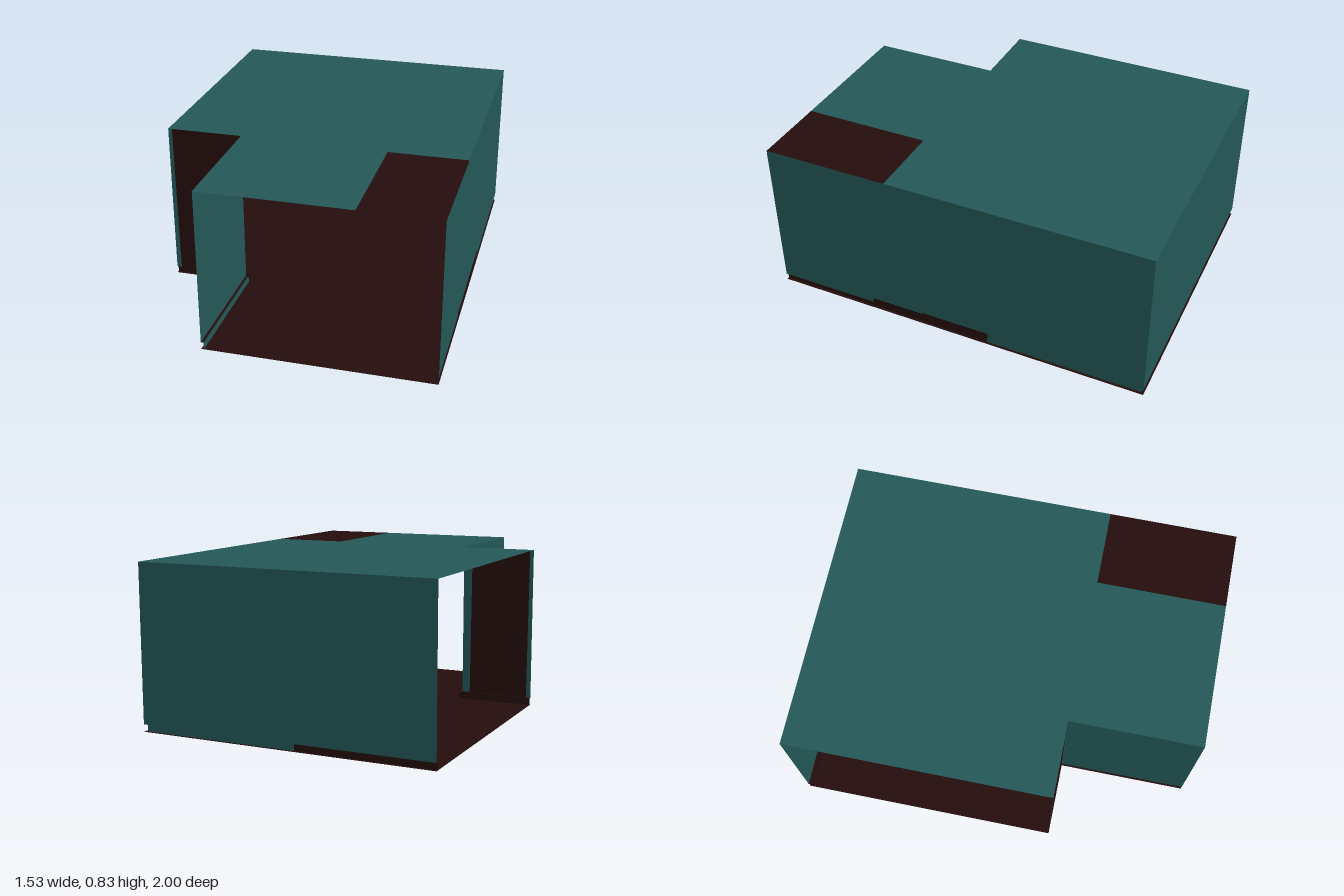
import * as THREE from 'three';

const W = 0.765, H = 0.83, BASE = 0.037; // half width, roof height, bottom of the walls
const NX = -0.378, NZ = 0.335;           // inner corner of the L-shaped plan
const INSET = 0.014;

export function createModel() {
  const model = new THREE.Group();
  const teal = new THREE.MeshStandardMaterial({ name: 'teal', color: 0x245958, side: THREE.DoubleSide });
  const dark = new THREE.MeshStandardMaterial({ name: 'darkBrown', color: 0x240e0d, side: THREE.DoubleSide });

  function add(name, geometry, material) {
    const mesh = new THREE.Mesh(geometry, material);
    mesh.name = name;
    model.add(mesh);
    return mesh;
  }
  const outline = (pts) => new THREE.ShapeGeometry(new THREE.Shape(pts.map(([a, b]) => new THREE.Vector2(a, b))));
  const rect = (a0, b0, a1, b1) => [[a0, b0], [a1, b0], [a1, b1], [a0, b1]];

  // Horizontal sheet from [x, z] points
  const sheet = (name, pts, y, mat) =>
    add(name, outline(pts.map(([x, z]) => [x, -z])).rotateX(-Math.PI / 2).translate(0, y, 0), mat);
  // Upright sheet facing z, from [x, y] points
  const wallZ = (name, pts, z, mat) => add(name, outline(pts).translate(0, 0, z), mat);
  // Upright sheet facing x, from [z, y] points
  const wallX = (name, pts, x, mat) =>
    add(name, outline(pts.map(([z, y]) => [-z, y])).rotateY(Math.PI / 2).translate(x, 0, 0), mat);

  // Floor and roof; the roof has a dark corner panel
  sheet('floor', [[-W, -1], [W, -1], [W, 1], [NX, 1], [NX, NZ], [-W, NZ]], 0, dark);
  sheet('roof', [[-W, -1], [W, -1], [W, 0.345], [0.37, 0.345], [0.37, 1], [NX, 1], [NX, NZ], [-W, NZ]], H, teal);
  sheet('roofPanel', rect(0.37, 0.345, W, 1), H, dark);

  // Main walls; the front and the other side stay open
  wallZ('backWall', rect(-W, BASE, W, H), -1, teal);
  wallX('leftWall', rect(-1, BASE, 1, H), W, teal);
  wallX('notchSideWall', rect(NZ, BASE, 1, H), NX, teal);

  // Notch wall: dark panel between teal margins
  wallZ('notchPanel', [[-0.74, BASE], [-0.42, BASE], [-0.425, 0.72], [NX, 0.72], [NX, H], [-0.745, H]], NZ, dark);
  wallZ('notchMarginOuter', [[-W, BASE], [-0.74, BASE], [-0.745, H], [-W, H]], NZ, teal);
  wallZ('notchMarginInner', [[-0.42, BASE], [NX, BASE], [NX, 0.72], [-0.425, 0.72]], NZ, teal);

  // Recessed skirting below the walls
  wallZ('backSkirtingDark', rect(-W, 0, -0.06, BASE), -1 + INSET, dark);
  wallZ('backSkirting', rect(-0.06, 0, W - INSET, BASE), -1 + INSET, teal);
  wallX('leftSkirting', rect(-1 + INSET, 0, -0.17, BASE), W - INSET, teal);
  wallX('leftSkirtingDark', rect(-0.17, 0, 1, BASE), W - INSET, dark);
  wallX('notchSideSkirting', rect(NZ, 0, 1, BASE), NX + INSET, teal);
  wallZ('notchSkirting', rect(-W, 0, NX + INSET, BASE), NZ - INSET, dark);

  // Ledges joining walls and skirting
  sheet('backLedge', rect(-W, -1, W, -1 + INSET), BASE, dark);
  sheet('leftLedge', rect(W - INSET, -1, W, 1), BASE, dark);
  sheet('notchSideLedge', rect(NX, NZ, NX + INSET, 1), BASE, dark);
  sheet('notchLedge', rect(-W, NZ - INSET, NX, NZ), BASE, dark);

  // Dark patch low on the left wall
  wallX('leftWallPatch', [[-0.185, BASE], [0.465, BASE], [0.465, 0.065], [0.18, 0.065], [0.18, 0.072], [-0.185, 0.072]], W + 0.002, dark);

  return model;
}
